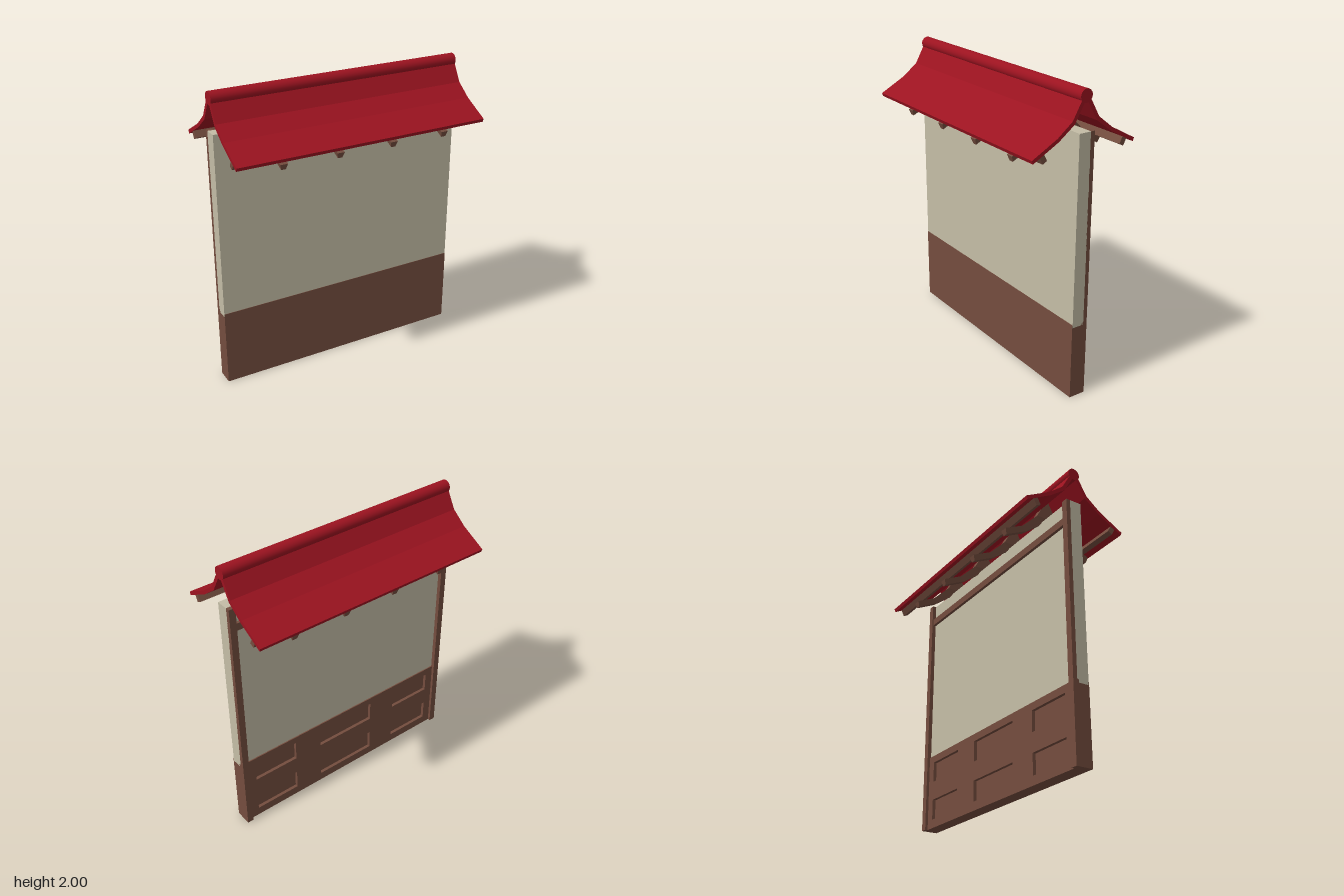
import * as THREE from 'three';

const mat = (color) => new THREE.MeshStandardMaterial({ color, flatShading: true });

export function createModel() {
  const model = new THREE.Group();
  const wood = mat(0x744d3e);
  const plaster = mat(0xc4bda6);
  const red = mat(0x9c1320);
  const redSmooth = new THREE.MeshStandardMaterial({ color: 0x9c1320 });
  const W = 1.74;

  const add = (name, geometry, material) => {
    const mesh = new THREE.Mesh(geometry, material);
    mesh.name = name;
    model.add(mesh);
    return mesh;
  };
  // Box given by its lower and upper corners
  const box = (name, material, x0, x1, y0, y1, z0, z1) => {
    const mesh = add(name, new THREE.BoxGeometry(x1 - x0, y1 - y0, z1 - z0), material);
    mesh.position.set((x0 + x1) / 2, (y0 + y1) / 2, (z0 + z1) / 2);
    return mesh;
  };
  // Half profile of [z, y] points mirrored across z = 0, extruded along x and centred
  const extrudeAlongX = (points, width) => {
    const shape = new THREE.Shape(points.map(([z, y]) => new THREE.Vector2(-z, y)));
    const geo = new THREE.ExtrudeGeometry(shape, { depth: width, bevelEnabled: false });
    return geo.translate(0, 0, -width / 2).rotateY(Math.PI / 2);
  };
  const mirrored = (half) => [...half, ...half.slice().reverse().map(([z, y]) => [-z, y])];

  // Wall: plaster above a wooden base
  box('plasterWall', plaster, -W / 2, W / 2, 0.5, 1.745, -0.042, 0.042);
  box('baseCore', wood, -W / 2, W / 2, 0, 0.5, -0.028, 0.042);
  box('baseFrontBoard', wood, -W / 2, W / 2, 0, 0.52, 0.04, 0.045);

  // Back panelling with two rows of three recesses
  const rect = (Type, x0, x1, y0, y1) => {
    const path = new Type();
    path.moveTo(x0, y0);
    path.lineTo(x1, y0);
    path.lineTo(x1, y1);
    path.lineTo(x0, y1);
    path.closePath();
    return path;
  };
  const panel = rect(THREE.Shape, -W / 2, W / 2, 0, 0.52);
  for (const y of [0.06, 0.33])
    for (const [x0, x1] of [[-0.765, -0.435], [-0.225, 0.225], [0.435, 0.765]])
      panel.holes.push(rect(THREE.Path, x0, x1, y, y + 0.14));
  const panelGeo = new THREE.ExtrudeGeometry(panel, { depth: 0.022, bevelEnabled: false });
  add('basePanelling', panelGeo, wood).position.z = -0.05;

  // Corner posts and top rail on the back
  for (const s of [-1, 1]) {
    const post = box('backPost', wood, -0.0225, 0.0225, 0, 1.745, -0.069, -0.04);
    post.position.x = s * (W / 2 - 0.0225);
  }
  box('backRail', wood, -W / 2 + 0.045, W / 2 - 0.045, 1.58, 1.63, -0.062, -0.04);

  // Curved rafters, narrower along the underside
  const top = [[0.329, 1.597], [0.2, 1.66], [0.08, 1.782], [0.01, 1.915]];
  const under = [[0.04, 1.745], [0.05, 1.728], [0.175, 1.63], [0.316, 1.56]];
  const outline = [
    ...top, ...top.slice().reverse().map(([z, y]) => [-z, y]),
    ...under.slice().reverse().map(([z, y]) => [-z, y]), ...under,
  ];
  const rafterGeo = extrudeAlongX(outline, 0.05);
  const pos = rafterGeo.attributes.position;
  for (let i = 0; i < pos.count; i++) {
    const isUnder = under.some(([z, y]) =>
      Math.abs(Math.abs(pos.getZ(i)) - z) < 1e-4 && Math.abs(pos.getY(i) - y) < 1e-4);
    if (isUnder) pos.setX(i, pos.getX(i) * 0.64);
  }
  rafterGeo.computeVertexNormals();
  for (let i = 0; i < 4; i++)
    add('rafter', rafterGeo, wood).position.x = -0.55 + i * 0.382;

  // Purlins between the rafters and the roof
  for (const s of [-1, 1]) {
    const purlin = add('purlin', new THREE.BoxGeometry(W - 0.01, 0.05, 0.034), wood);
    purlin.position.set(0, 1.642, s * 0.292);
    purlin.rotation.x = s * 0.48;
  }

  // Swept roof sheet and round ridge
  const roofTop = [[0.374, 1.65], [0.198, 1.745], [0.096, 1.825], [0.028, 1.945]];
  const roofUnder = [[0.01, 1.925], [0.08, 1.805], [0.19, 1.723], [0.366, 1.628]];
  const roofOutline = [
    ...mirrored(roofTop),
    ...mirrored(roofUnder.slice().reverse()).reverse(),
  ];
  add('roof', extrudeAlongX(roofOutline, W), red);
  const ridge = add('ridge', new THREE.CylinderGeometry(0.042, 0.042, W, 24), redSmooth);
  ridge.rotation.z = Math.PI / 2;
  ridge.position.y = 1.958;

  return model;
}
